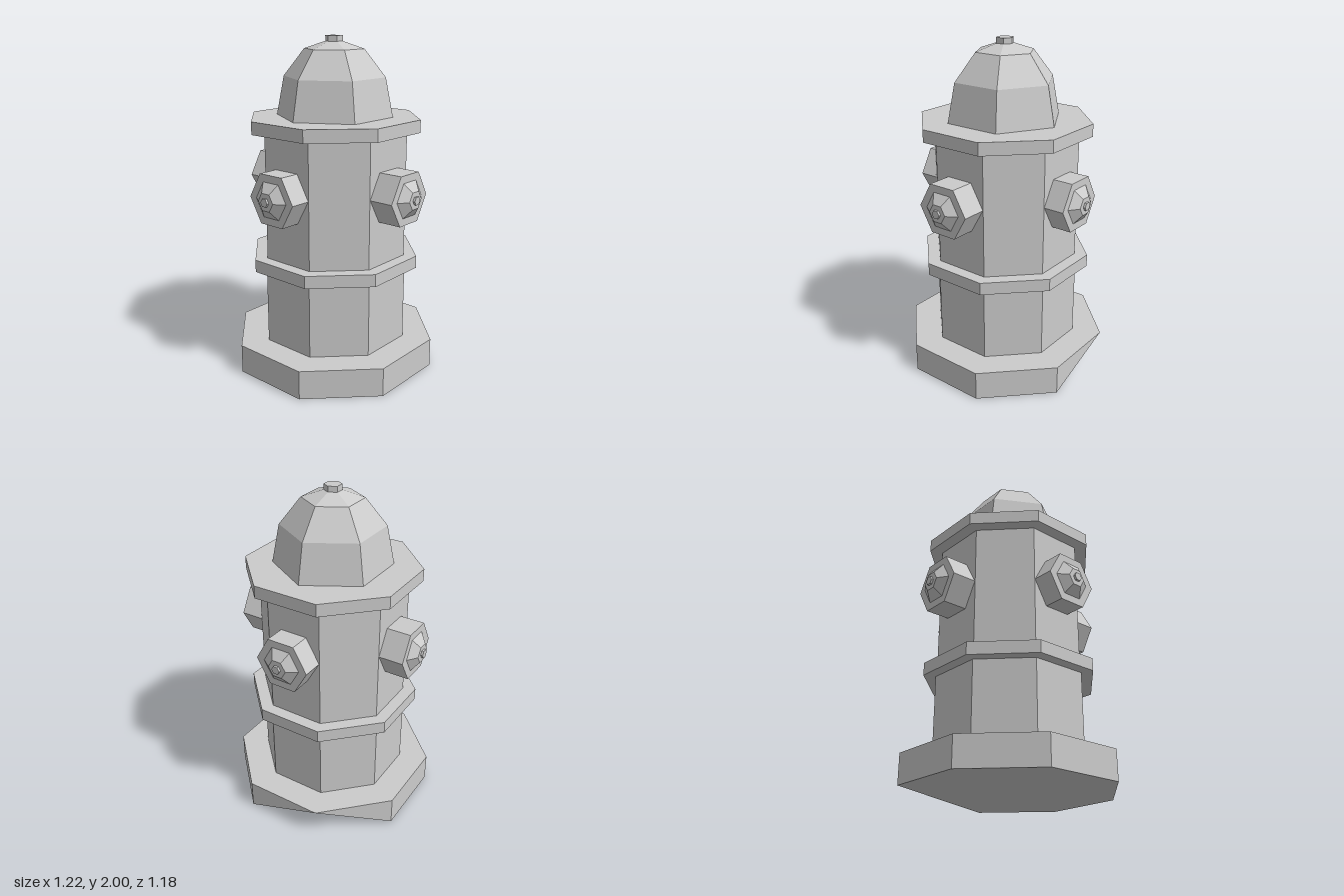
import * as THREE from 'three';

const material = new THREE.MeshStandardMaterial({ color: 0xcccccc, flatShading: true });

// Straight or tapered prism standing between two heights
function prism(name, sides, turn, rBottom, rTop, y0, y1) {
  const g = new THREE.CylinderGeometry(rTop, rBottom, y1 - y0, sides, 1);
  g.rotateY(turn);
  g.translate(0, (y0 + y1) / 2, 0);
  const mesh = new THREE.Mesh(g, material);
  mesh.name = name;
  return mesh;
}

// Octagonal prism measured across its flats
function octagon(name, halfWidth, y0, y1) {
  const r = halfWidth / Math.cos(Math.PI / 8);
  return prism(name, 8, Math.PI / 8, r, r, y0, y1);
}

// Hexagonal outlet with a tapered cap and a small nut, pointing along +z
function createOutlet(name, reach) {
  const axis = new THREE.Group();
  const turn = Math.PI / 6;
  axis.add(
    prism('outletPipe', 6, turn, 0.167, 0.167, 0.36, reach),
    prism('outletCap', 6, turn, 0.117, 0.057, reach, reach + 0.042),
    prism('outletNut', 6, turn, 0.026, 0.026, reach + 0.042, reach + 0.055)
  );
  axis.rotation.x = Math.PI / 2;
  axis.position.y = 1.12;
  const outlet = new THREE.Group();
  outlet.name = name;
  outlet.add(axis);
  return outlet;
}

export function createModel() {
  const hydrant = new THREE.Group();
  hydrant.name = 'hydrant';

  // Foot, with one lower rear corner chipped away up to the top edge
  const foot = octagon('foot', 0.58, 0, 0.175);
  const p = foot.geometry.attributes.position;
  for (let i = 0; i < p.count; i++) {
    const rearCorner = Math.abs(p.getX(i) + 0.24) < 0.02 && p.getZ(i) < -0.55;
    if (rearCorner) p.setY(i, 0.175);
  }
  // The lower cap fans from its centre, so re-cut it: flat floor plus the chip
  const ring = [];
  for (let k = 0; k < 8; k++) {
    const a = Math.PI / 8 + (k * Math.PI) / 4;
    const r = 0.58 / Math.cos(Math.PI / 8);
    ring.push(new THREE.Vector3(r * Math.sin(a), 0, r * Math.cos(a)));
  }
  const chip = ring.findIndex(v => Math.abs(v.x + 0.24) < 0.02 && v.z < -0.55);
  const at = k => ring[(chip + k) % 8];
  ring[chip].y = 0.175;
  const floor = [at(7), at(0), at(1)].reverse();
  for (let k = 2; k < 7; k++) floor.push(at(1), at(k + 1), at(k));
  const floorGeometry = new THREE.BufferGeometry().setFromPoints(floor);
  floorGeometry.computeVertexNormals();
  const footUnderside = new THREE.Mesh(floorGeometry, material);
  footUnderside.name = 'footUnderside';
  // Keep the wall and upper cap, drop the fanned lower cap
  const lowerCap = foot.geometry.groups[2];
  foot.geometry.setIndex(Array.from(foot.geometry.index.array).slice(0, lowerCap.start));
  foot.geometry.clearGroups();
  hydrant.add(foot, footUnderside);

  // Barrel and flanges
  hydrant.add(
    octagon('lowerBarrel', 0.416, 0.175, 0.635),
    octagon('middleFlange', 0.482, 0.635, 0.71),
    octagon('upperBarrel', 0.41, 0.71, 1.46),
    octagon('topFlange', 0.482, 1.46, 1.535)
  );

  // Six-sided bonnet and its nut
  const profile = [[0.35, 1.535], [0.304, 1.765], [0.178, 1.925], [0.052, 1.967], [0.052, 2], [0, 2]]
    .map(([r, y]) => new THREE.Vector2(r, y));
  const bonnet = new THREE.Mesh(new THREE.LatheGeometry(profile, 6), material);
  bonnet.name = 'bonnet';
  hydrant.add(bonnet);

  // Four outlets around the barrel
  ['frontOutlet', 'leftOutlet', 'backOutlet', 'rightOutlet'].forEach((name, i) => {
    const outlet = createOutlet(name, i % 2 ? 0.557 : 0.534);
    outlet.rotation.y = (i * Math.PI) / 2;
    hydrant.add(outlet);
  });

  hydrant.position.x = -0.008;
  const model = new THREE.Group();
  model.add(hydrant);
  return model;
}
